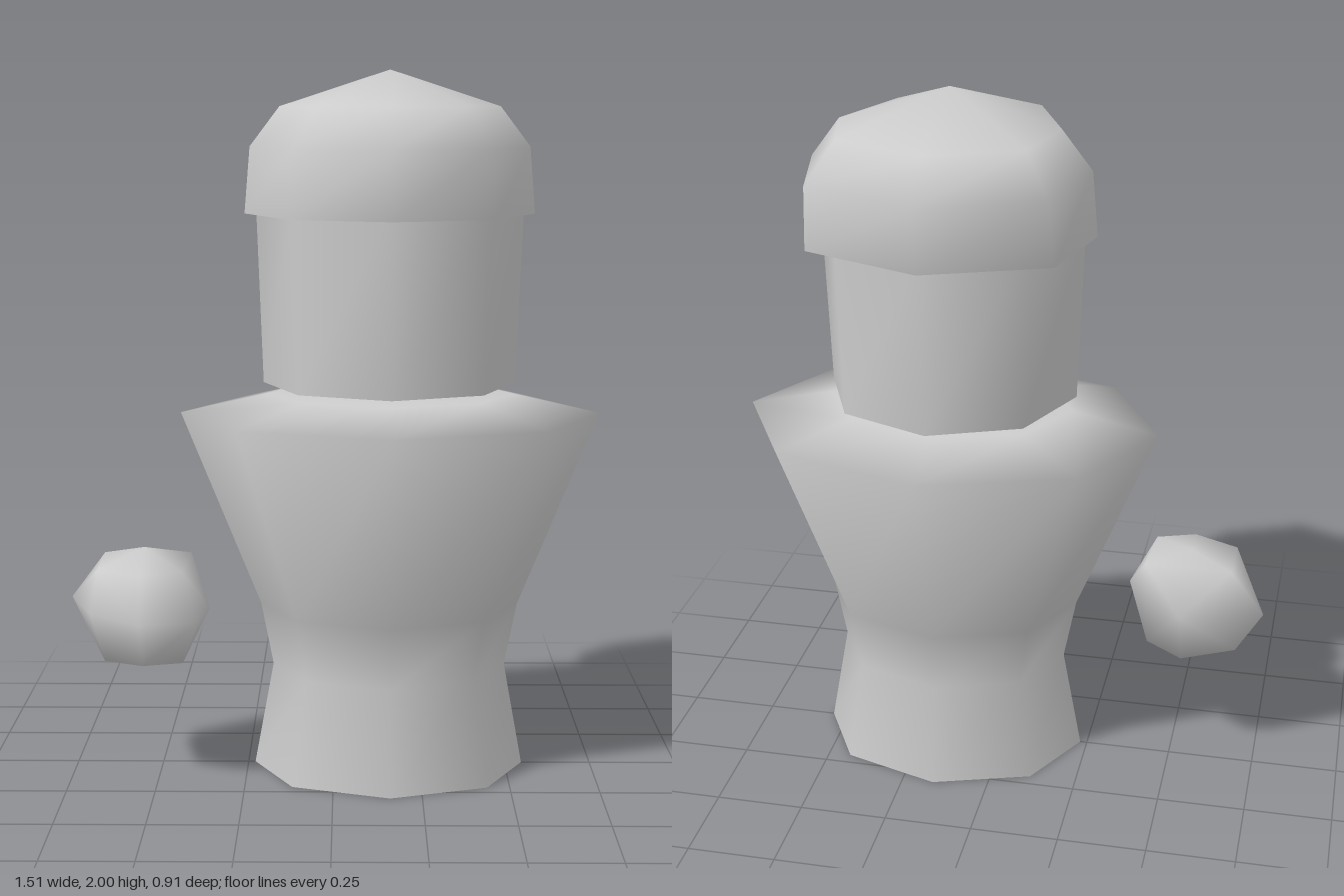
import * as THREE from 'three';
import { mergeVertices } from 'three/addons/utils/BufferGeometryUtils.js';
import { ConvexGeometry } from 'three/addons/geometries/ConvexGeometry.js';

const material = new THREE.MeshStandardMaterial({ color: 0xcccccc, side: THREE.DoubleSide });

// Eight-sided unit outlines as [x, z], starting at the front and turning to the left
const d = Math.SQRT1_2;
const octagon = [[0, 1], [d, d], [1, 0], [d, -d], [0, -1], [-d, -d], [-1, 0], [-d, d]];
const hatOutline = [[0, 1], [0.67, 0.74], [1, 0], [0.83, -0.68], [0, -1], [-0.83, -0.68], [-1, 0], [-0.67, 0.74]];

// Smooth open shell through scaled outlines; each ring is [y, radiusX, radiusZ, centreZ]
function loft(name, rings, outline, centreX) {
  const n = outline.length;
  const positions = [];
  const index = [];
  rings.forEach(([y, rx, rz, cz = 0], j) => {
    outline.forEach(([x, z], i) => {
      positions.push(centreX + x * rx, y, cz + z * rz);
      if (j === 0) return;
      const a = (j - 1) * n + i;
      const b = (j - 1) * n + (i + 1) % n;
      index.push(a, b, b + n);
      if (rx > 0) index.push(a, b + n, a + n);
    });
  });
  const geometry = new THREE.BufferGeometry();
  geometry.setAttribute('position', new THREE.Float32BufferAttribute(positions, 3));
  geometry.setIndex(index);
  const welded = mergeVertices(geometry);
  welded.computeVertexNormals();
  const mesh = new THREE.Mesh(welded, material);
  mesh.name = name;
  return mesh;
}

// Rounded, faceted fist from the corners of its hull
function makeFist() {
  const corners = [
    // knuckle line
    [-0.53, 0.55, -0.15], [-0.757, 0.5, 0.005], [-0.68, 0.5, 0.2],
    [-0.53, 0.5, 0.32], [-0.375, 0.5, 0.295], [-0.35, 0.5, 0.13],
    // top
    [-0.54, 0.66, 0.06], [-0.41, 0.63, 0], [-0.66, 0.63, 0],
    [-0.66, 0.62, 0.18], [-0.53, 0.62, 0.24], [-0.42, 0.62, 0.2],
    // underside
    [-0.68, 0.365, 0.02], [-0.64, 0.365, 0.2], [-0.53, 0.365, 0.25],
    [-0.42, 0.365, 0.22], [-0.42, 0.365, 0.02], [-0.53, 0.365, -0.06],
  ].map((p) => new THREE.Vector3(...p));
  const hull = new ConvexGeometry(corners);
  hull.deleteAttribute('normal');
  const geometry = mergeVertices(hull);
  geometry.computeVertexNormals();
  const mesh = new THREE.Mesh(geometry, material);
  mesh.name = 'rightFist';
  return mesh;
}

export function createModel() {
  const model = new THREE.Group();
  model.name = 'figure';

  // Flared torso with a pinched waist, open underneath
  model.add(loft('torso', [
    [0, 0.39, 0.3],
    [0.3, 0.335, 0.26],
    [0.48, 0.37, 0.285],
    [1.04, 0.596, 0.457],
    [1.095, 0.35, 0.265],
    [1.095, 0, 0],
  ], octagon, 0.16));

  // Floating head, tucked into the hat
  model.add(loft('head', [
    [1.13, 0.355, 0.35, 0.02],
    [1.64, 0.374, 0.35, 0.02],
  ], octagon, 0.157));

  // Domed hat
  model.add(loft('hat', [
    [1.605, 0.405, 0.407, 0.018],
    [1.79, 0.39, 0.43, 0.01],
    [1.9, 0.307, 0.328, 0.003],
    [2, 0, 0, 0.01],
  ], hatOutline, 0.156));

  model.add(makeFist());
  return model;
}
